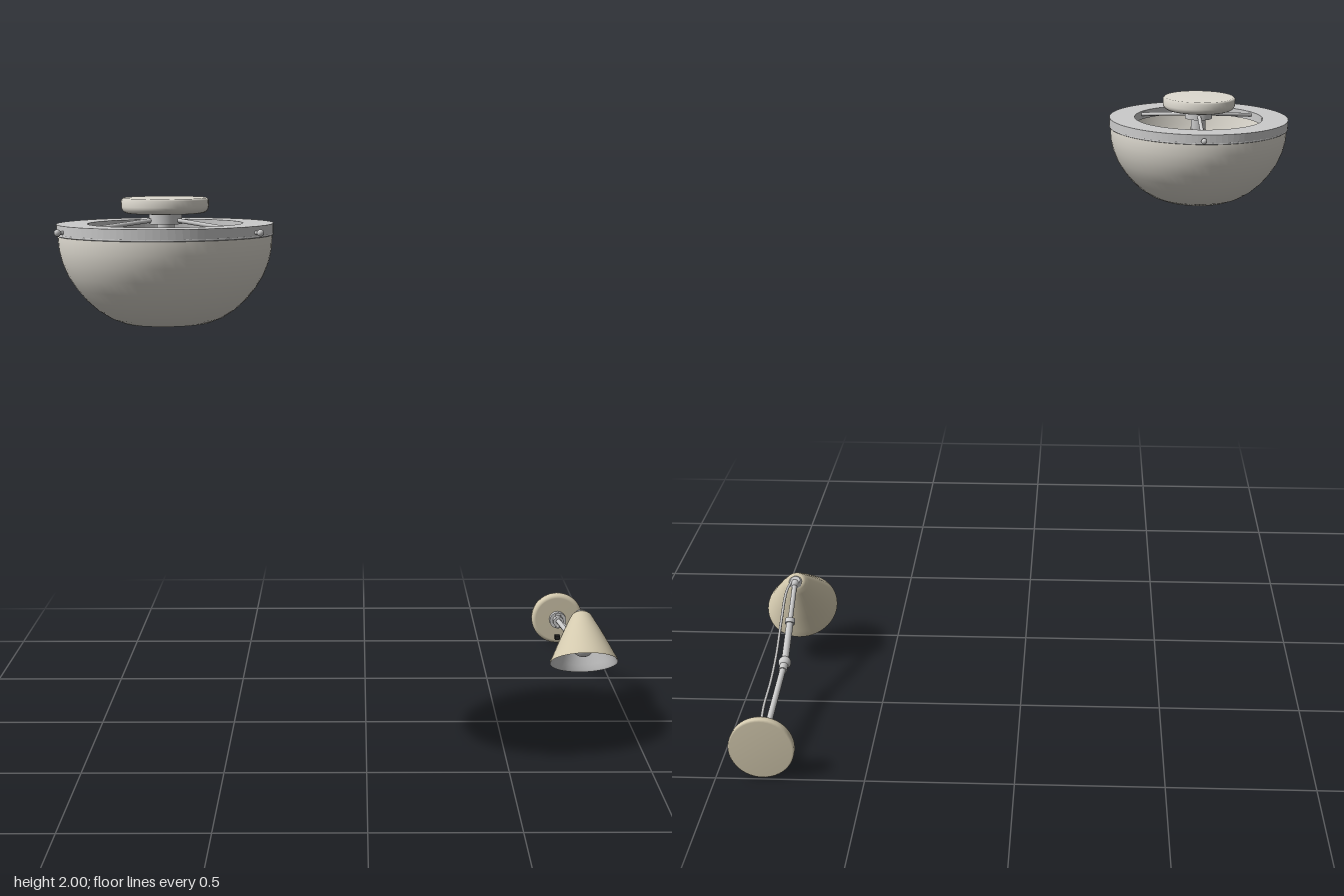
import * as THREE from 'three';

const mat = (color) => new THREE.MeshStandardMaterial({ color, side: THREE.DoubleSide });
const metal = mat(0xcccccc);
const cream = mat(0xd3c9ae);
const glass = mat(0xdedad0);
const dark = mat(0x222222);

function add(parent, name, geometry, material, x = 0, y = 0, z = 0) {
  const mesh = new THREE.Mesh(geometry, material);
  mesh.name = name;
  mesh.position.set(x, y, z);
  parent.add(mesh);
  return mesh;
}

const lathe = (points, segments = 48) =>
  new THREE.LatheGeometry(points.map(([r, y]) => new THREE.Vector2(r, y)), segments);

// Straight round rod between two points
function rod(parent, name, a, b, radius, material = metal) {
  const from = new THREE.Vector3(...a), to = new THREE.Vector3(...b);
  const dir = to.clone().sub(from);
  const mesh = add(parent, name, new THREE.CylinderGeometry(radius, radius, dir.length(), 16), material);
  mesh.position.copy(from).lerp(to, 0.5);
  mesh.quaternion.setFromUnitVectors(new THREE.Vector3(0, 1, 0), dir.normalize());
  return mesh;
}

// Rounded disc standing on y = 0 with its soft edge at the top
function softDisc(radius, height) {
  const e = height * 0.45, pts = [[0, 0], [radius - 0.006, 0], [radius, 0.006]];
  for (let i = 0; i <= 6; i++) {
    const a = (i / 6) * Math.PI / 2;
    pts.push([radius - e + e * Math.cos(a), height - e + e * Math.sin(a)]);
  }
  pts.push([0, height]);
  return lathe(pts);
}

function ceilingLamp() {
  const lamp = new THREE.Group();
  lamp.name = 'ceilingLamp';
  lamp.position.set(-0.64, 0, 0.65);

  // Canopy, neck and bulb
  add(lamp, 'canopy', softDisc(0.138, 0.048), glass, 0, 2, 0).rotation.x = Math.PI;
  add(lamp, 'neck', new THREE.CylinderGeometry(0.052, 0.052, 0.04, 32), metal, 0, 1.938, 0);
  add(lamp, 'socket', new THREE.CylinderGeometry(0.028, 0.028, 0.05, 24), metal, 0, 1.895, 0);
  add(lamp, 'bulb', new THREE.SphereGeometry(0.036, 24, 16), glass, 0, 1.855, 0);

  // Bowl with a thin wall
  add(lamp, 'bowl', lathe([
    [0, 1.597], [0.07, 1.598], [0.14, 1.606], [0.18, 1.622], [0.22, 1.648], [0.255, 1.68],
    [0.285, 1.717], [0.31, 1.757], [0.327, 1.8], [0.336, 1.84], [0.339, 1.888],
    [0.333, 1.888], [0.328, 1.83], [0.303, 1.757], [0.25, 1.684], [0.18, 1.63], [0, 1.603],
  ], 64), glass);

  // Flat metal ring on the rim
  const ringShape = new THREE.Shape().absarc(0, 0, 0.342, 0, Math.PI * 2);
  ringShape.holes.push(new THREE.Path().absarc(0, 0, 0.245, 0, Math.PI * 2, true));
  const ringGeo = new THREE.ExtrudeGeometry(ringShape, { depth: 0.032, bevelEnabled: false, curveSegments: 48 });
  add(lamp, 'rimRing', ringGeo, metal, 0, 1.888, 0).rotation.x = -Math.PI / 2;
  add(lamp, 'rimSeam', new THREE.TorusGeometry(0.339, 0.004, 8, 64), metal, 0, 1.887, 0).rotation.x = Math.PI / 2;

  // Three spokes and three thumb screws
  for (let i = 0; i < 3; i++) {
    const a = -Math.PI / 2 + i * Math.PI * 2 / 3;
    const at = (r, y) => [r * Math.cos(a), y, r * Math.sin(a)];
    rod(lamp, 'spoke', at(0.03, 1.932), at(0.25, 1.908), 0.007);
    rod(lamp, 'screw', at(0.335, 1.9), at(0.36, 1.9), 0.006);
    add(lamp, 'screwHead', new THREE.SphereGeometry(0.011, 16, 12), metal, ...at(0.36, 1.9));
  }
  return lamp;
}

function wallLamp() {
  const lamp = new THREE.Group();
  lamp.name = 'wallLamp';
  lamp.position.x = 0.843;

  // Wall plate with switch and swivel
  add(lamp, 'wallPlate', softDisc(0.111, 0.038), cream, 0, 0.115, -0.997).rotation.x = Math.PI / 2;
  add(lamp, 'switch', new THREE.BoxGeometry(0.02, 0.02, 0.025), dark, 0, 0.035, -0.952);
  rod(lamp, 'swivelBase', [0, 0.115, -0.965], [0, 0.115, -0.938], 0.036);
  rod(lamp, 'swivelCollar', [0, 0.115, -0.94], [0, 0.115, -0.915], 0.023);
  rod(lamp, 'swivelPin', [0, 0.088, -0.925], [0, 0.145, -0.925], 0.012);

  // Two arms with a ball joint
  const base = [0, 0.117, -0.92], elbow = [0, 0.175, -0.525], clamp = [0, 0.267, -0.388], head = [0, 0.355, -0.258];
  rod(lamp, 'lowerArm', base, elbow, 0.011);
  rod(lamp, 'elbowSleeve', [0, 0.168, -0.57], elbow, 0.015);
  add(lamp, 'elbow', new THREE.SphereGeometry(0.023, 24, 16), metal, ...elbow);
  rod(lamp, 'upperArm', elbow, clamp, 0.013);
  rod(lamp, 'upperRod', clamp, head, 0.009);
  rod(lamp, 'clamp', [0, 0.262, -0.396], [0, 0.272, -0.381], 0.018);

  // Slack cable
  const path = new THREE.CatmullRomCurve3([
    [0.01, 0.365, -0.25], [0.024, 0.345, -0.3], [0.028, 0.275, -0.415], [0.028, 0.21, -0.525],
    [0.03, 0.165, -0.64], [0.034, 0.135, -0.76], [0.026, 0.115, -0.86], [0.015, 0.11, -0.93],
  ].map((p) => new THREE.Vector3(...p)));
  add(lamp, 'cable', new THREE.TubeGeometry(path, 48, 0.005, 8), metal);

  // Tilted shade, with its mouth at the local origin
  const shade = new THREE.Group();
  shade.name = 'shade';
  shade.position.set(0, 0.195, -0.128);
  shade.rotation.x = -0.61;
  lamp.add(shade);
  add(shade, 'shadeCone', lathe([
    [0.131, 0], [0.131, 0.006], [0.121, 0.025], [0.098, 0.075], [0.071, 0.13], [0.047, 0.175],
    [0.037, 0.193], [0.026, 0.202], [0, 0.203],
  ]), cream);
  add(shade, 'shadeLining', lathe([
    [0.131, 0], [0.126, 0.005], [0.117, 0.025], [0.094, 0.075], [0.067, 0.13], [0.035, 0.185], [0, 0.19],
  ]), metal);
  add(shade, 'shadeCap', new THREE.CylinderGeometry(0.018, 0.026, 0.012, 24), metal, 0, 0.205, -0.006);
  add(shade, 'socket', new THREE.CylinderGeometry(0.024, 0.024, 0.08, 24), metal, 0, 0.14, 0);
  add(shade, 'bulb', new THREE.SphereGeometry(0.044, 24, 16), metal, 0, 0.068, 0);
  add(lamp, 'headJoint', new THREE.SphereGeometry(0.015, 16, 12), metal, ...head);
  return lamp;
}

export function createModel() {
  const model = new THREE.Group();
  model.name = 'lampSet';
  model.add(ceilingLamp(), wallLamp());
  return model;
}
